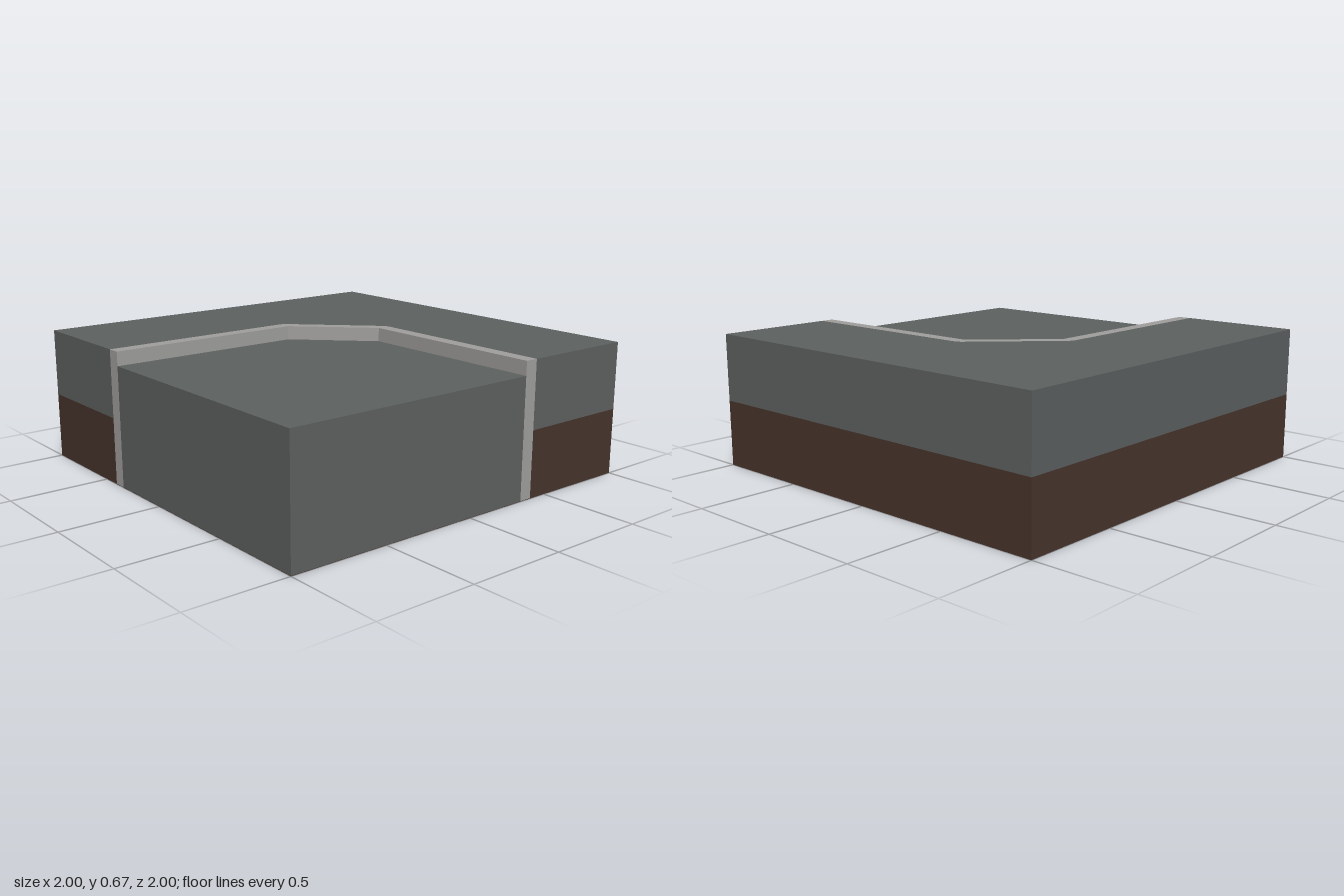
import * as THREE from 'three';

const material = (name, color) => new THREE.MeshStandardMaterial({ name, color });

export function createModel() {
  const group = new THREE.Group();
  const asphalt = material('asphalt grey', 0x5d6160);
  const stone = material('curb stone', 0xa09f9d);
  const soil = material('soil brown', 0x47342c);

  // Curb outlines in plan, as [x, z], running from the left edge to the front
  const inner = [[-1, -0.335], [0, -0.335], [0.335, 0], [0.335, 1]];
  const outer = [[-1, -0.402], [0, -0.402], [0.027, -0.391], [0.391, -0.027], [0.402, 0], [0.402, 1]];

  // Upright slab with a plan outline, between two heights
  function slab(name, plan, y0, y1, mat) {
    const shape = new THREE.Shape(plan.map(([x, z]) => new THREE.Vector2(x, -z)));
    const geometry = new THREE.ExtrudeGeometry(shape, { depth: y1 - y0, bevelEnabled: false });
    geometry.rotateX(-Math.PI / 2).translate(0, y0, 0);
    const mesh = new THREE.Mesh(geometry, mat);
    mesh.name = name;
    group.add(mesh);
  }

  const base = 0.002;
  const groundPlan = [...outer, [1, 1], [1, -1], [-1, -1]];

  // Thin underside, then the road, curb and raised pavement on its soil
  slab('underside', [[-1, -1], [1, -1], [1, 1], [-1, 1]], 0, base, soil);
  slab('road', [...inner, [-1, 1]], base, 0.6, asphalt);
  slab('curb', [...inner, ...[...outer].reverse()], base, 0.67, stone);
  slab('soil', groundPlan, base, 0.333, soil);
  slab('pavement', groundPlan, 0.333, 0.67, asphalt);

  return group;
}
